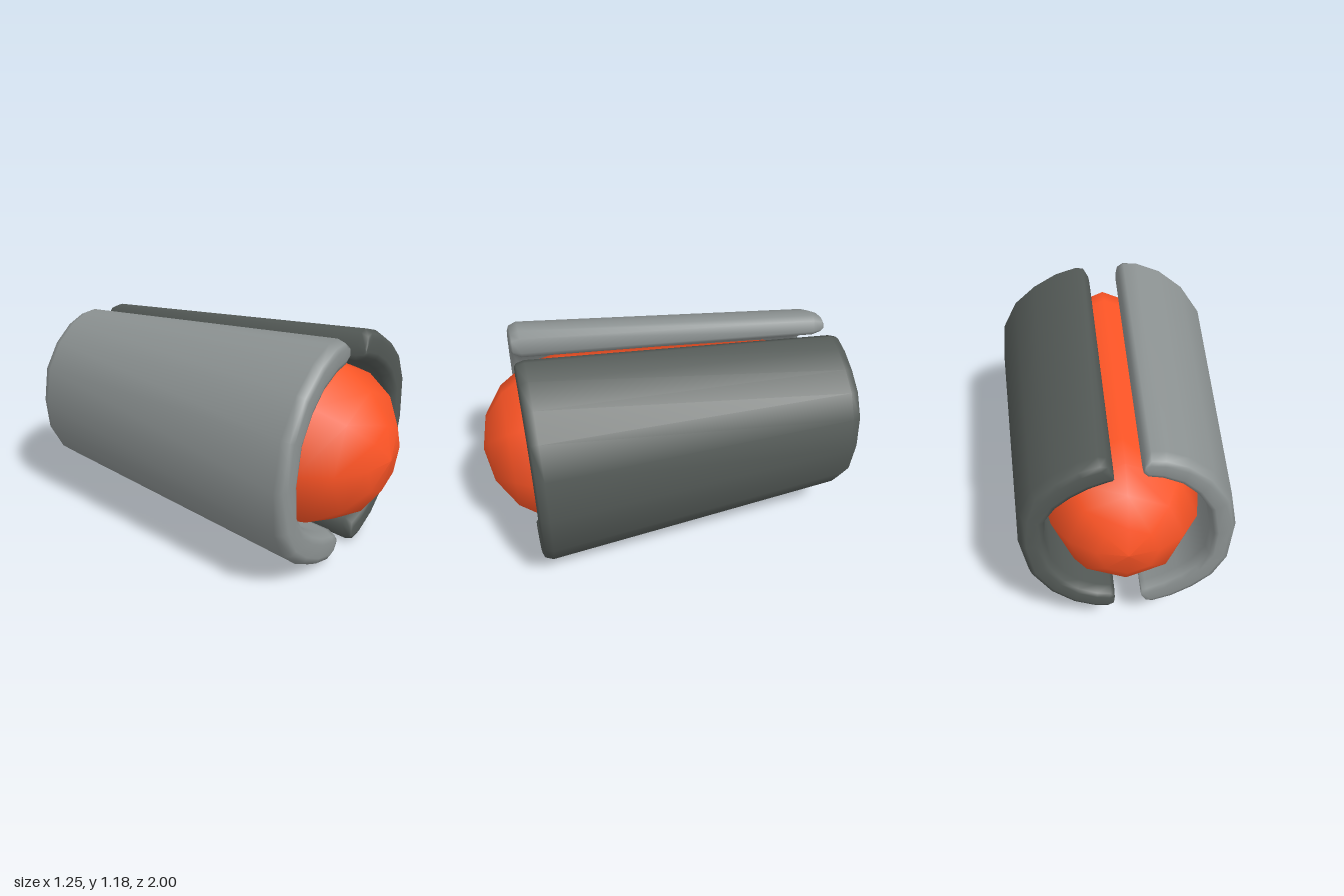
import * as THREE from 'three';

const CENTRE_Y = 0.593;

// Shell section at the front: [outer x, outer y, inner x, inner y], top lip to bottom lip
const SECTION = [
  [-0.088, 1.155, -0.075, 1.08], [-0.12, 1.185, -0.1, 1.045], [-0.2, 1.18, -0.18, 1.03],
  [-0.33, 1.13, -0.29, 0.98], [-0.47, 1.02, -0.375, 0.9], [-0.585, 0.85, -0.45, 0.78],
  [-0.63, 0.615, -0.48, 0.6], [-0.61, 0.39, -0.465, 0.44], [-0.53, 0.235, -0.39, 0.335],
  [-0.41, 0.13, -0.31, 0.27], [-0.28, 0.055, -0.21, 0.21], [-0.165, 0.02, -0.11, 0.17],
  [-0.12, 0.03, -0.085, 0.16], [-0.09, 0.09, -0.08, 0.135],
];

// Rings along the length: [z, inset toward the wall's middle], rounding both rims
const RINGS = [
  [-0.905, 0.3], [-0.895, 0.13], [-0.85, 0],
  [0.74, 0], [0.78, 0.13], [0.79, 0.3],
];

// Curved tapering shell with rounded rims
function shellGeometry() {
  const n = SECTION.length, loop = 2 * n;
  const pos = [], index = [];
  for (const [z, inset] of RINGS) {
    const s = 0.79 + 0.21 * (z + 0.87) / 1.65;
    const point = (x0, y0, x1, y1) => pos.push(
      s * (x0 + (x1 - x0) * inset),
      s * (y0 + (y1 - y0) * inset - CENTRE_Y),
      z);
    for (const [ox, oy, ix, iy] of SECTION) point(ox, oy, ix, iy);
    for (const [ox, oy, ix, iy] of [...SECTION].reverse()) point(ix, iy, ox, oy);
  }
  const quad = (a, b, c, d) => index.push(a, b, c, a, c, d);
  for (let r = 0; r < RINGS.length - 1; r++) {
    for (let j = 0; j < loop; j++) {
      const k = (j + 1) % loop, a = r * loop, b = a + loop;
      quad(a + j, a + k, b + k, b + j);
    }
  }
  // End faces
  const f = (RINGS.length - 1) * loop;
  for (let j = 0; j < n - 1; j++) {
    const i0 = loop - 1 - j, i1 = i0 - 1;
    quad(f + j, f + j + 1, f + i1, f + i0);
    quad(j, i0, i1, j + 1);
  }
  const g = new THREE.BufferGeometry();
  g.setAttribute('position', new THREE.Float32BufferAttribute(pos, 3));
  g.setIndex(index);
  g.computeVertexNormals();
  return g;
}

// Eight-sided tapered capsule along z
function coreGeometry() {
  const front = 0.455, back = 0.37, profile = [];
  for (let i = 0; i <= 4; i++) {
    const a = i * Math.PI / 8;
    profile.push(new THREE.Vector2(back * Math.sin(a), -1 + back * (1 - Math.cos(a))));
  }
  for (let i = 4; i >= 0; i--) {
    const a = i * Math.PI / 8;
    profile.push(new THREE.Vector2(front * Math.sin(a), 1 - front * (1 - Math.cos(a))));
  }
  return new THREE.LatheGeometry(profile, 8).rotateX(Math.PI / 2);
}

export function createModel() {
  const group = new THREE.Group();
  const add = (name, geometry, color) => {
    const mesh = new THREE.Mesh(geometry, new THREE.MeshStandardMaterial({ color }));
    mesh.name = name;
    mesh.position.y = CENTRE_Y;
    group.add(mesh);
    return mesh;
  };

  add('core', coreGeometry(), 0xff5526).position.x = 0.007;

  // The two shells are the same part turned half a revolution
  const shell = shellGeometry();
  add('rightShell', shell, 0x8c9292);
  add('leftShell', shell, 0x535956).rotation.z = Math.PI;

  return group;
}
